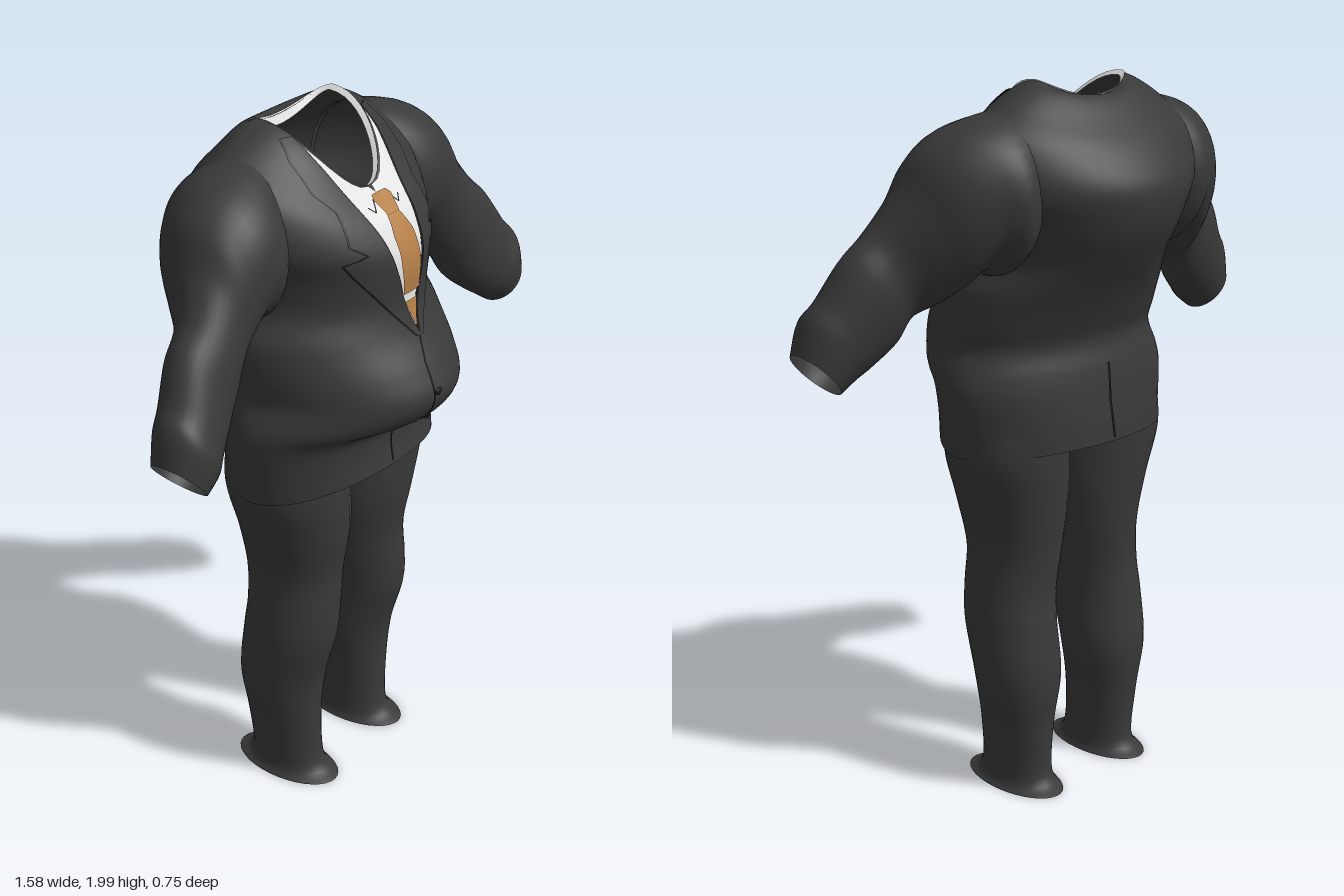
import * as THREE from 'three';

const mat = (name, color) => new THREE.MeshStandardMaterial({ name, color, side: THREE.DoubleSide });

// Smooth interpolation through rows of numbers
function sample(rows, u) {
  const n = rows.length - 1, f = u * n, i = Math.min(Math.floor(f), n - 1), t = f - i;
  const at = (k) => rows[Math.max(0, Math.min(n, k))];
  return rows[i].map((_, k) => {
    const a = at(i - 1)[k], b = at(i)[k], c = at(i + 1)[k], d = at(i + 2)[k];
    return b + 0.5 * t * (c - a + t * (2 * a - 5 * b + 4 * c - d + t * (3 * (b - c) + d - a)));
  });
}

// Grid of points as a smooth surface, optionally closed around
function grid(rows, closed) {
  const m = rows[0].length, pos = rows.flat(2), idx = [];
  for (let i = 0; i < rows.length - 1; i++) {
    for (let j = 0; j < (closed ? m : m - 1); j++) {
      const k = (j + 1) % m, a = i * m + j, b = i * m + k, c = a + m, d = b + m;
      idx.push(a, b, d, a, d, c);
    }
  }
  const g = new THREE.BufferGeometry();
  g.setAttribute('position', new THREE.Float32BufferAttribute(pos, 3));
  g.setIndex(idx);
  g.computeVertexNormals();
  return g;
}

// Tube through cross-sections; point(section, sin, cos) places each vertex
function loft(sections, point, steps, sides = 56) {
  const rows = [];
  for (let i = 0; i <= steps; i++) {
    const s = sample(sections, i / steps), row = [];
    for (let j = 0; j < sides; j++) {
      const a = (j / sides) * Math.PI * 2;
      row.push(point(s, Math.sin(a), Math.cos(a)));
    }
    rows.push(row);
  }
  return grid(rows, true);
}

// Section: y front, y side, y back, half width, z front, z middle, z back, pointedness
const bodyPoint = ([yf, ys, yb, w, zf, zm, zb, p], s, c) => [
  w * s,
  ys + ((c > 0 ? yf : yb) - ys) * c * c,
  zm + Math.abs(c) ** p * (c > 0 ? zf - zm : zb - zm),
];

export function createModel() {
  const model = new THREE.Group();
  const suit = mat('charcoal cloth', 0x393939);
  const seamMat = mat('dark seam', 0x181818);
  const shirt = mat('white shirt', 0xe2e2e2);
  const tieMat = mat('tan tie', 0xb57f48);
  const add = (name, geo, m) => {
    const mesh = new THREE.Mesh(geo, m);
    mesh.name = name;
    model.add(mesh);
    return mesh;
  };

  // Jacket body from hem to neckline
  const jacket = add('jacketBody', loft([
    [1.08, 1.01, 1.035, 0.352, 0.26, 0, -0.24, 1.1],
    [1.14, 1.1, 1.1, 0.362, 0.248, 0, -0.235, 1.1],
    [1.195, 1.18, 1.18, 0.37, 0.258, 0, -0.225, 1.1],
    [1.235, 1.235, 1.24, 0.362, 0.335, 0, -0.215, 1.15],
    [1.3, 1.3, 1.31, 0.335, 0.37, 0, -0.2, 1.15],
    [1.37, 1.37, 1.37, 0.34, 0.34, -0.01, -0.22, 1.15],
    [1.46, 1.46, 1.46, 0.335, 0.28, -0.02, -0.265, 1.15],
    [1.54, 1.54, 1.54, 0.305, 0.255, -0.05, -0.315, 1.2],
    [1.62, 1.63, 1.63, 0.33, 0.256, -0.08, -0.36, 1.3],
    [1.68, 1.75, 1.73, 0.385, 0.245, -0.09, -0.375, 1.35],
    [1.74, 1.865, 1.82, 0.365, 0.212, -0.1, -0.325, 1.3],
    [1.785, 1.932, 1.89, 0.28, 0.17, -0.1, -0.26, 1.15],
    [1.81, 1.977, 1.95, 0.198, 0.14, -0.1, -0.2, 1],
    [1.82, 1.993, 1.948, 0.157, 0.125, -0.1, -0.16, 1],
  ], bodyPoint, 78), suit);

  // Shirt collar lining the neckline
  add('shirtCollar', loft([
    [1.822, 1.997, 1.952, 0.16, 0.128, -0.1, -0.163, 1],
    [1.816, 1.985, 1.925, 0.146, 0.115, -0.1, -0.15, 1],
  ], bodyPoint, 3), shirt);

  // Sleeves: each section runs from a top point to a bottom point
  const sleeve = [ // top x, top y, bottom x, bottom y, z centre, z radius
    [0.23, 1.935, 0.24, 1.54, -0.09, 0.14],
    [0.33, 1.918, 0.3, 1.51, -0.08, 0.185],
    [0.42, 1.888, 0.35, 1.525, -0.06, 0.172],
    [0.49, 1.83, 0.405, 1.48, -0.04, 0.147],
    [0.535, 1.74, 0.45, 1.445, -0.01, 0.118],
    [0.595, 1.65, 0.495, 1.41, 0.03, 0.092],
    [0.665, 1.585, 0.535, 1.345, 0.045, 0.088],
    [0.725, 1.49, 0.6, 1.29, 0.07, 0.087],
    [0.765, 1.44, 0.635, 1.265, 0.085, 0.088],
    [0.79, 1.355, 0.68, 1.235, 0.09, 0.075],
  ];
  // Trouser legs
  const leg = [ // y, inner x, outer x, z front, z back
    [0.01, 0.075, 0.26, 0.145, -0.195],
    [0.05, 0.085, 0.245, 0.09, -0.145],
    [0.2, 0.077, 0.262, 0.08, -0.15],
    [0.35, 0.052, 0.288, 0.09, -0.165],
    [0.5, 0.05, 0.29, 0.13, -0.15],
    [0.6, 0.042, 0.282, 0.137, -0.14],
    [0.72, 0.025, 0.275, 0.137, -0.148],
    [0.86, 0.006, 0.305, 0.157, -0.165],
    [1.0, 0.008, 0.345, 0.165, -0.18],
    [1.12, 0.012, 0.335, 0.165, -0.18],
  ];
  for (const [side, k] of [['left', 1], ['right', -1]]) {
    add(side + 'Sleeve', loft(sleeve, ([tx, ty, bx, by, z, r], s, c) => [
      k * ((tx + bx) / 2 + (c * (tx - bx)) / 2), (ty + by) / 2 + (c * (ty - by)) / 2, z + s * r,
    ], 54, 36), suit);
    add(side + 'TrouserLeg', loft(leg, ([y, a, b, f, r], s, c) => [
      k * ((a + b) / 2 + (s * (b - a)) / 2), y, (f + r) / 2 + (c * (f - r)) / 2,
    ], 54, 36), suit);
  }

  // Thin panels laid on the jacket: rows of y, x0, x1; dir 1 = front, -1 = back
  const ray = new THREE.Raycaster();
  jacket.updateMatrixWorld();
  const surfaceZ = (x, y, dir) => {
    ray.set(new THREE.Vector3(x, y, 2 * dir), new THREE.Vector3(0, 0, -dir));
    const hit = ray.intersectObject(jacket)[0];
    return hit ? hit.point.z : -0.1;
  };
  const panel = (name, rows, lift, m, dir = 1, cols = 6) => {
    const pts = [];
    for (let i = 0; i < rows.length - 1; i++) {
      for (let t = i ? 1 : 0; t <= 5; t++) {
        const [y, a, b] = rows[i].map((v, q) => v + (rows[i + 1][q] - v) * (t / 5));
        pts.push(Array.from({ length: cols + 1 }, (_, j) => {
          const x = a + ((b - a) * j) / cols;
          return [x, y, surfaceZ(x, y, dir) + dir * lift];
        }));
      }
    }
    return add(name, grid(pts, false), m);
  };
  const line = (name, pts, dir = 1, w = 0.003) =>
    panel(name, pts.map(([x, y]) => [y, x - w, x + w]), 0.005, seamMat, dir, 1);

  // Shirt front and notched lapels, mirrored
  const neck = (y) => (y > 1.815 ? 0.008 + 0.157 * Math.sqrt(Math.max(0, y - 1.82) / 0.173) : 0);
  const opening = [[1.96, 0.153], [1.93, 0.146], [1.89, 0.134], [1.86, 0.124], [1.84, 0.117], [1.826, 0.112],
    [1.82, 0.11], [1.808, 0.106], [1.75, 0.088], [1.6, 0.048], [1.47, 0]];
  const lapel = [[1.965, 0.15, 0.178], [1.92, 0.142, 0.198], [1.85, 0.12, 0.195], [1.805, 0.105, 0.165],
    [1.725, 0.08, 0.175], [1.697, 0.073, 0.135], [1.683, 0.07, 0.2], [1.645, 0.06, 0.172],
    [1.53, 0.024, 0.078], [1.45, -0.002, 0.012]];
  for (const [side, k] of [['left', 1], ['right', -1]]) {
    const flip = (rows, grow = 0) => rows.map(([y, a, b]) => [y, k * (a - grow), k * (b + grow)]);
    panel(side + 'ShirtFront', flip(opening.map(([y, x]) => [y, Math.min(neck(y), x), x])), 0.004, shirt);
    panel(side + 'LapelSeam', flip(lapel, 0.004), 0.006, seamMat);
    panel(side + 'Lapel', flip(lapel), 0.0095, suit);
    // Shirt collar point
    line(side + 'CollarPoint', [[k * 0.03, 1.8], [k * 0.05, 1.775], [k * 0.066, 1.79]], 1, 0.0025);
  }

  // Tie: knot, blade, and the tip below the shirt gap
  panel('tieKnot', [[1.81, -0.03, 0.03], [1.8, -0.038, 0.038], [1.765, -0.024, 0.024]], 0.013, tieMat);
  panel('tieBlade', [[1.768, -0.024, 0.024], [1.72, -0.042, 0.042], [1.64, -0.042, 0.042], [1.565, -0.034, 0.034]], 0.01, tieMat);
  panel('tieTip', [[1.543, -0.026, 0.026], [1.475, -0.002, 0.002]], 0.0085, tieMat);

  // Front closing edge, buttons and back vent
  line('frontEdge', [[0, 1.45], [-0.03, 1.39], [-0.045, 1.3], [-0.055, 1.24], [-0.06, 1.2], [-0.06, 1.09]]);
  line('backVent', [[0, 1.25], [0.008, 1.15], [0, 1.045]], -1, 0.004);
  for (const y of [1.315, 1.235]) {
    const button = add('button', new THREE.SphereGeometry(0.012, 16, 10), seamMat);
    button.scale.set(1.2, 0.8, 0.4);
    button.position.set(-0.02, y, surfaceZ(-0.02, y, 1));
  }
  return model;
}
